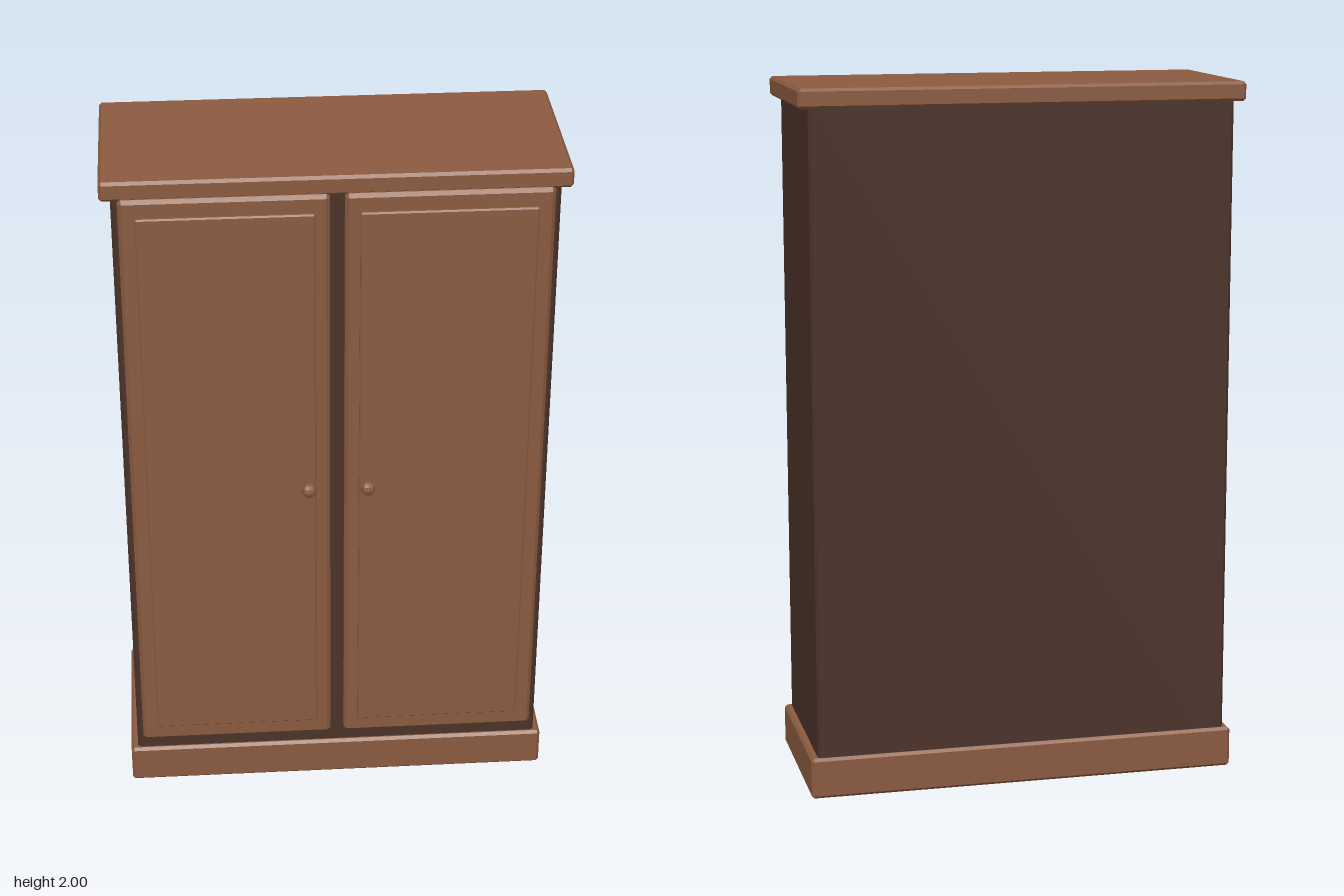
import * as THREE from 'three';
import { ConvexGeometry } from 'three/addons/geometries/ConvexGeometry.js';

const mat = (name, color) => {
  const m = new THREE.MeshStandardMaterial({ color });
  m.name = name;
  return m;
};

// Box with every edge chamfered by b, given as [min, max] on each axis
function chamferBox(name, x, y, z, b, material) {
  const size = [x, y, z].map(([lo, hi]) => (hi - lo) / 2);
  const points = [];
  for (const sx of [-1, 1]) for (const sy of [-1, 1]) for (const sz of [-1, 1]) {
    const signs = [sx, sy, sz];
    for (let axis = 0; axis < 3; axis++) {
      points.push(new THREE.Vector3(...signs.map((s, i) => s * (size[i] - (i === axis ? 0 : b)))));
    }
  }
  const mesh = new THREE.Mesh(new ConvexGeometry(points), material);
  mesh.name = name;
  mesh.position.set((x[0] + x[1]) / 2, (y[0] + y[1]) / 2, (z[0] + z[1]) / 2);
  return mesh;
}

export function createModel() {
  const wood = mat('warm brown wood', 0x8a5a40);
  const darkWood = mat('dark brown wood', 0x4a3228);
  const model = new THREE.Group();
  model.name = 'wardrobe';

  // Carcass, plinth and cornice
  model.add(
    chamferBox('carcass', [-0.6, 0.6], [0.01, 1.98], [-0.285, 0.212], 0.008, darkWood),
    chamferBox('plinth', [-0.62, 0.62], [0, 0.118], [-0.295, 0.224], 0.008, wood),
    chamferBox('cornice', [-0.63, 0.63], [1.945, 2], [-0.303, 0.226], 0.008, wood),
  );

  // Pair of doors, each with a raised panel and a round knob
  for (const [side, s] of [['left', 1], ['right', -1]]) {
    const door = new THREE.Group();
    door.name = side + 'Door';
    const span = (a, b) => (s > 0 ? [a, b] : [-b, -a]);
    door.add(
      chamferBox('doorLeaf', span(0.02, 0.582), [0.165, 1.952], [0.205, 0.24], 0.01, wood),
      chamferBox('raisedPanel', span(0.06, 0.538), [0.218, 1.902], [0.23, 0.25], 0.004, wood),
    );
    const knobMaterial = wood;
    const knobGeometry = new THREE.SphereGeometry(0.021, 8, 6).toNonIndexed();
    knobGeometry.computeVertexNormals();
    const knob = new THREE.Mesh(knobGeometry, knobMaterial);
    knob.name = 'knob';
    knob.position.set(s * 0.083, 1.06, 0.283);
    door.add(knob);
    model.add(door);
  }
  return model;
}
